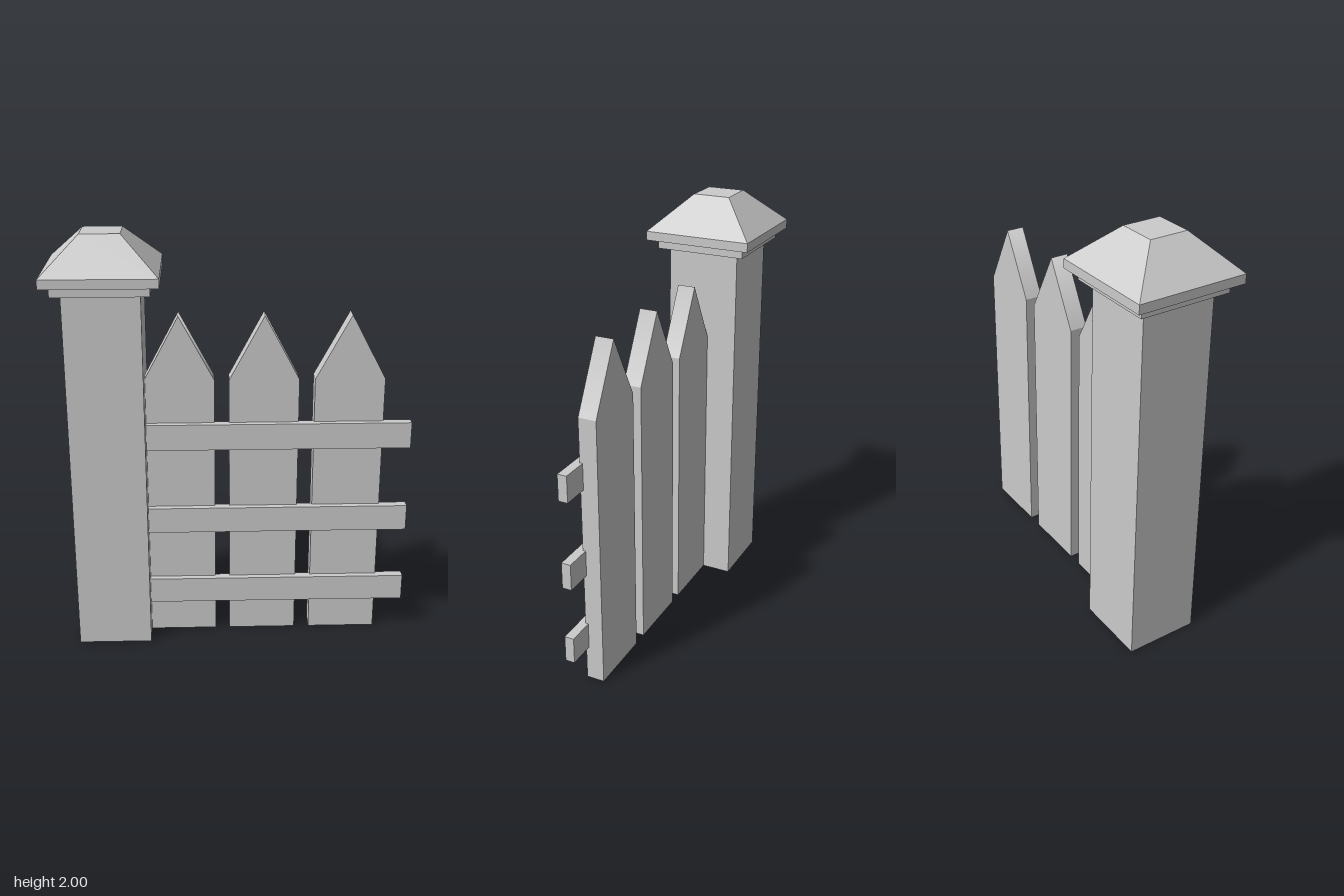
import * as THREE from 'three';

const material = new THREE.MeshStandardMaterial({ color: 0xcccccc });
const shellMaterial = new THREE.MeshStandardMaterial({ color: 0xcccccc, flatShading: true, side: THREE.DoubleSide });

// Square shell from [half width, height] pairs, listed from bottom to top
function squareShell(name, profile) {
  const points = profile.map(([half, y]) => new THREE.Vector2(half * Math.SQRT2, y));
  const geometry = new THREE.LatheGeometry(points, 4, Math.PI / 4).toNonIndexed();
  geometry.computeVertexNormals();
  const mesh = new THREE.Mesh(geometry, shellMaterial);
  mesh.name = name;
  return mesh;
}

// Pointed board, standing on y = 0, with shading rounded over the tip
function picketGeometry(width, shoulder, peak, depth) {
  const h = width / 2;
  const shape = new THREE.Shape();
  shape.moveTo(-h, 0);
  shape.lineTo(h, 0);
  shape.lineTo(h, shoulder);
  shape.lineTo(0, peak);
  shape.lineTo(-h, shoulder);
  shape.closePath();
  const geometry = new THREE.ExtrudeGeometry(shape, { depth, bevelEnabled: false });
  const { position, normal } = geometry.attributes;
  for (let i = 0; i < position.count; i++) {
    if (position.getY(i) > peak - 0.001 && Math.abs(normal.getZ(i)) < 0.5) normal.setXYZ(i, 0, 1, 0);
  }
  return geometry;
}

export function createModel() {
  const model = new THREE.Group();
  model.name = 'fenceSection';

  // Gate post, open underneath, with a stepped cap
  const post = new THREE.Group();
  post.name = 'post';
  post.position.x = -0.58;
  post.add(
    squareShell('postShaft', [[0.175, 0], [0.175, 1.75]]),
    squareShell('capCollar', [[0.175, 1.75], [0.218, 1.75], [0.218, 1.795]]),
    squareShell('capRoof', [[0.218, 1.795], [0.26, 1.795], [0.26, 1.838], [0.09, 2], [0, 2]])
  );
  model.add(post);

  // Pickets
  const picketShape = picketGeometry(0.326, 1.315, 1.62, 0.086);
  [-0.247, 0.147, 0.546].forEach((x, i) => {
    const picket = new THREE.Mesh(picketShape, material);
    picket.name = `picket${i + 1}`;
    picket.position.set(x, 0, -0.03);
    model.add(picket);
  });

  // Rails across the front
  const railShape = new THREE.BoxGeometry(1.248, 0.127, 0.045);
  [0.233, 0.615, 1.043].forEach((y, i) => {
    const rail = new THREE.Mesh(railShape, material);
    rail.name = `rail${i + 1}`;
    rail.position.set(0.216, y, 0.064);
    model.add(rail);
  });

  return model;
}
